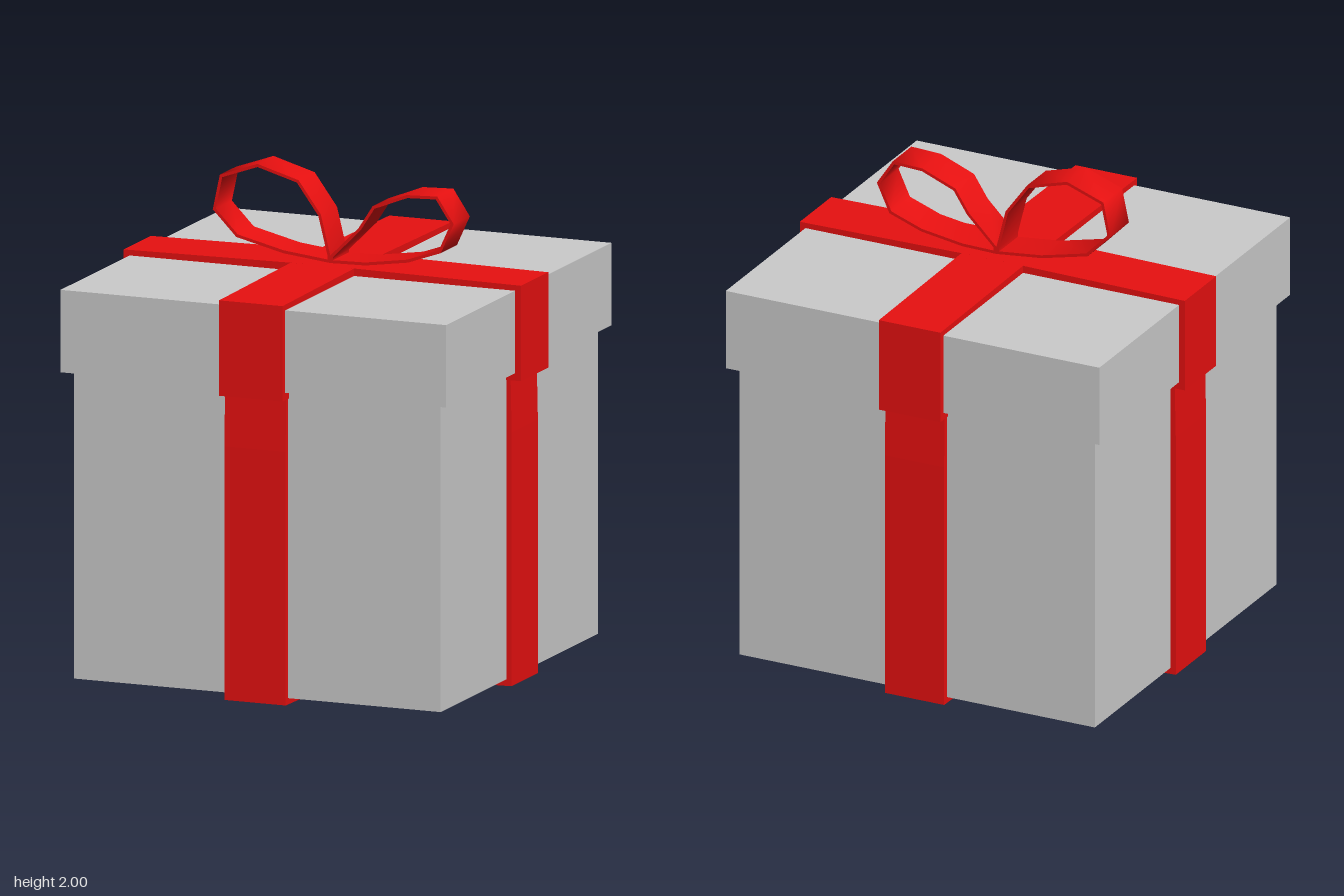
import * as THREE from 'three';
import { toCreasedNormals } from 'three/addons/utils/BufferGeometryUtils.js';

const grey = new THREE.MeshStandardMaterial({ color: 0xcccccc });
const red = new THREE.MeshStandardMaterial({ color: 0xe81010 });

const toPoints = (list) => list.map(([x, y]) => new THREE.Vector2(x, y));
const mirrored = (half) => [...half, ...half.map(([x, y]) => [-x, y]).reverse()];

// Extrudes an outline (with optional hole) along z, centred on z = 0
function extrude(outline, width, hole) {
  const shape = new THREE.Shape(outline);
  if (hole) shape.holes.push(new THREE.Path(hole));
  const geometry = new THREE.ExtrudeGeometry(shape, { depth: width, bevelEnabled: false });
  geometry.translate(0, 0, -width / 2);
  return geometry;
}

// Moves a counter-clockwise outline inwards by t
function inset(points, t) {
  const n = points.length;
  return points.map((p, i) => {
    const a = p.clone().sub(points[(i + n - 1) % n]).normalize();
    const b = points[(i + 1) % n].clone().sub(p).normalize();
    const na = new THREE.Vector2(-a.y, a.x);
    const nb = new THREE.Vector2(-b.y, b.x);
    const miter = na.clone().add(nb);
    return p.clone().addScaledVector(miter, t / (1 + na.dot(nb)));
  });
}

export function createModel() {
  const model = new THREE.Group();
  const add = (name, geometry, material, parent = model) => {
    const mesh = new THREE.Mesh(geometry, material);
    mesh.name = name;
    parent.add(mesh);
    return mesh;
  };

  // Box and lid
  add('boxBody', new THREE.BoxGeometry(1.56, 1.24, 1.56).translate(0, 0.66, 0), grey);
  add('boxLid', new THREE.BoxGeometry(1.64, 0.33, 1.64).translate(0, 1.435, 0), grey);

  // Ribbon bands: U-shaped profiles, slightly bulged at the middle
  const bodyBand = extrude(toPoints([
    ...mirrored([[0.13, 0], [0.803, 0.015], [0.803, 1.03], [0.798, 1.27], [0.775, 1.27], [0.775, 0.045]]).slice(0, 6),
    ...[[-0.775, 0.045], [-0.775, 1.27], [-0.798, 1.27], [-0.803, 1.03], [-0.803, 0.015], [-0.13, 0]],
  ]), 0.26);
  const lidBand = extrude(toPoints(mirrored([
    [0.13, 1.63], [0.845, 1.622], [0.845, 1.24], [0.775, 1.24], [0.775, 1.27], [0.815, 1.27], [0.815, 1.595],
  ])), 0.27);
  for (const [name, turn] of [['sideways', 0], ['lengthways', Math.PI / 2]]) {
    const band = new THREE.Group();
    band.name = name + 'Ribbon';
    band.rotation.y = turn;
    add('bodyBand', bodyBand, red, band);
    add('lidBand', lidBand, red, band);
    model.add(band);
  }

  // Bow: two uneven closed loops of thin ribbon
  const loops = {
    rightBowLoop: [
      [0.01, 1.63], [0.01, 1.66], [-0.03, 1.82], [-0.125, 1.95], [-0.3, 2],
      [-0.46, 1.943], [-0.49, 1.802], [-0.39, 1.7], [-0.19, 1.652],
    ],
    leftBowLoop: [
      [0.01, 1.63], [0.16, 1.633], [0.34, 1.66], [0.48, 1.71], [0.535, 1.83],
      [0.465, 1.935], [0.335, 1.93], [0.19, 1.873], [0.13, 1.78], [0.01, 1.66],
    ],
  };
  for (const [name, list] of Object.entries(loops)) {
    const outline = toPoints(list);
    add(name, toCreasedNormals(extrude(outline, 0.16, inset(outline, 0.012)), 1.1), red);
  }
  return model;
}
